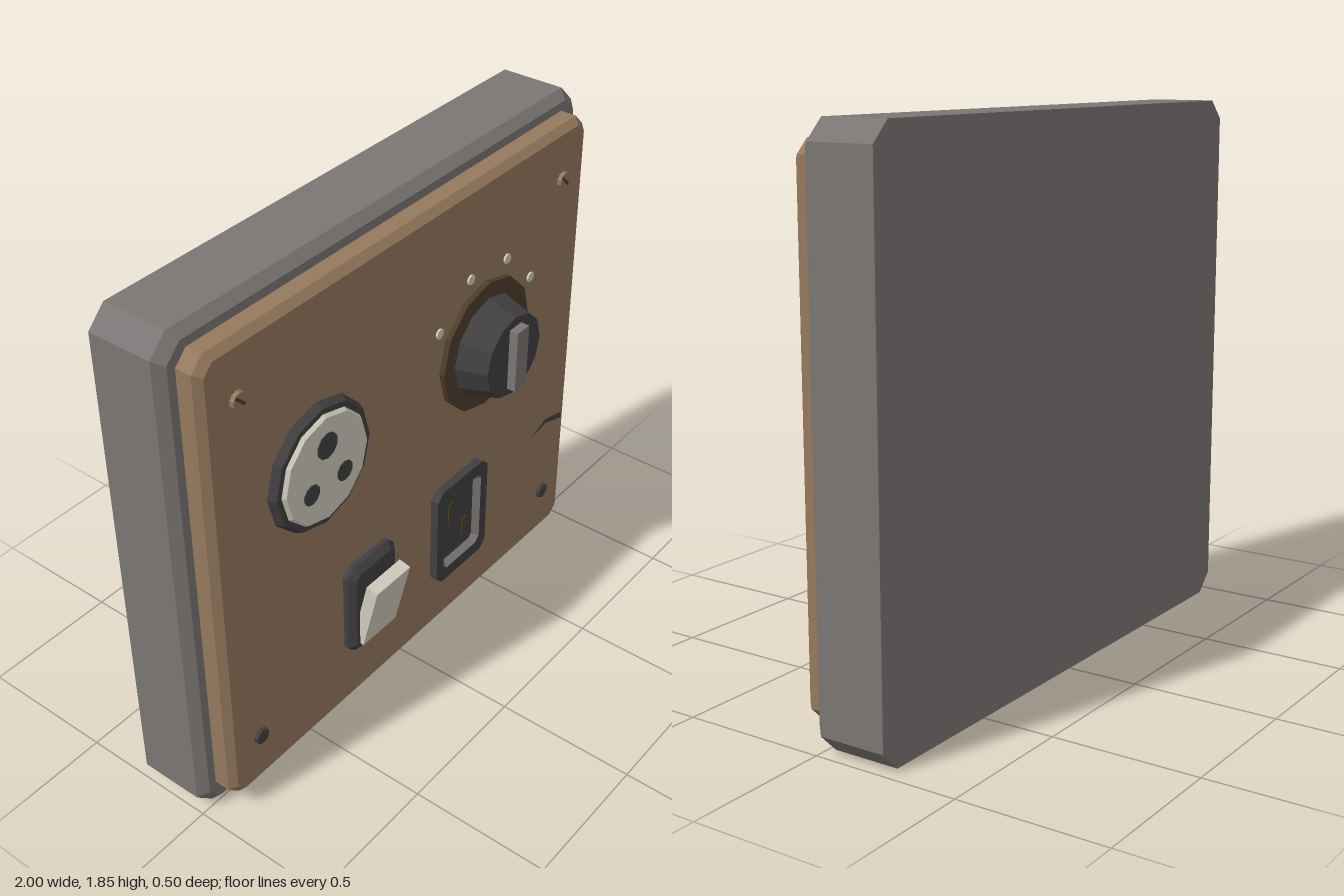
import * as THREE from 'three';

const mat = (name, color, extra = {}) =>
  Object.assign(new THREE.MeshStandardMaterial({ color, flatShading: true, ...extra }), { name });

// Octagonal cross-section: a rectangle with cut corners
function ring([w, h, c, z]) {
  return [[w, -h + c], [w, h - c], [w - c, h], [-w + c, h], [-w, h - c], [-w, -h + c], [-w + c, -h], [w - c, -h]]
    .map(([x, y]) => [x, y, z]);
}

// Skin a run of [halfWidth, halfHeight, cornerCut, z] sections, with optional end caps
function loft(sections, capBack = true, capFront = true) {
  const rings = sections.map(ring), out = [];
  const tri = (a, b, c) => out.push(...a, ...b, ...c);
  for (let i = 0; i < rings.length - 1; i++) {
    const a = rings[i], b = rings[i + 1];
    for (let j = 0; j < 8; j++) {
      const k = (j + 1) % 8;
      tri(a[j], a[k], b[k]);
      tri(a[j], b[k], b[j]);
    }
  }
  const first = rings[0], last = rings[rings.length - 1];
  for (let j = 1; j < 7; j++) {
    if (capBack) tri(first[0], first[j + 1], first[j]);
    if (capFront) tri(last[0], last[j], last[j + 1]);
  }
  const g = new THREE.BufferGeometry();
  g.setAttribute('position', new THREE.Float32BufferAttribute(out, 3));
  g.computeVertexNormals();
  return g;
}

export function createModel() {
  const root = new THREE.Group();
  root.name = 'controlPanel';
  const grey = mat('box grey', 0x7a7674);
  const brown = mat('panel brown', 0x95795d);
  const dark = mat('dark plastic', 0x413f3f);
  const cream = mat('cream', 0xcfcbbd);
  const darkBrown = mat('dark brown', 0x4c3c2a);

  const add = (name, geo, material, x = 0, y = 0, z = 0, parent = root) => {
    const m = new THREE.Mesh(geo, material);
    m.name = name;
    m.position.set(x, y, z);
    parent.add(m);
    return m;
  };
  // Faceted disc facing forward, from z0 to z1
  const disc = (name, material, x, y, z0, z1, rBack, rFront = rBack, sides = 12) =>
    add(name, new THREE.CylinderGeometry(rFront, rBack, z1 - z0, sides).rotateX(Math.PI / 2),
      material, x, y, (z0 + z1) / 2);

  // Back box and face panel
  add('backBox', loft([[1, 0.9225, 0.065, -0.25], [1, 0.9225, 0.065, -0.02], [0.97, 0.8925, 0.055, 0.01]]),
    grey, 0, 0.9225);
  add('facePanel', loft([[0.94, 0.86, 0.045, 0], [0.94, 0.86, 0.045, 0.067], [0.917, 0.837, 0.035, 0.09]]),
    brown, 0, 0.925);

  // Corner screws; the top pair are slotted
  for (const x of [-0.8, 0.8]) {
    disc('topScrew', brown, x, 1.595, 0.085, 0.103, 0.031, 0.027, 10);
    add('screwSlot', new THREE.BoxGeometry(0.05, 0.01, 0.004), darkBrown, x, 1.595, 0.103).rotation.z = -Math.PI / 4;
    disc('bottomScrew', dark, x, 0.265, 0.085, 0.103, 0.031, 0.027, 10);
  }

  // Round three-hole socket
  const sx = -0.477, sy = 1.175;
  disc('socketRing', dark, sx, sy, 0.085, 0.117, 0.231, 0.215);
  disc('socketFace', cream, sx, sy, 0.11, 0.13, 0.2, 0.187);
  for (const [dx, dy, r] of [[0, 0.087, 0.046], [-0.077, -0.053, 0.036], [0.077, -0.053, 0.036]])
    disc('socketHole', dark, sx + dx, sy + dy, 0.126, 0.133, r, r, 10);

  // Rotary knob with grip and dial marks
  const kx = 0.37, ky = 1.168;
  disc('knobPlate', darkBrown, kx, ky, 0.085, 0.11, 0.24);
  disc('knobBody', dark, kx, ky, 0.108, 0.218, 0.182, 0.15);
  add('knobGrip', new THREE.BoxGeometry(0.064, 0.23, 0.04), grey, kx, ky, 0.23);
  for (const [x, y] of [[0.125, 1.33], [0.288, 1.452], [0.49, 1.436], [0.635, 1.297]])
    disc('dialMark', cream, x, y, 0.087, 0.097, 0.018, 0.018, 8);

  // Rocker switch
  add('switchBezel', loft([[0.122, 0.183, 0.03, 0.085], [0.122, 0.183, 0.03, 0.108], [0.1, 0.16, 0.02, 0.13]]),
    dark, -0.252, 0.486);
  add('switchRocker', new THREE.BoxGeometry(0.174, 0.27, 0.045), cream, -0.252, 0.479, 0.152).rotation.x = 0.23;

  // Recessed rectangular inlet with two slots
  const inlet = new THREE.Group();
  inlet.name = 'powerInlet';
  inlet.position.set(0.245, 0.486, 0);
  root.add(inlet);
  add('inletFrame', loft([[0.145, 0.203, 0.03, 0.085], [0.145, 0.203, 0.03, 0.12], [0.107, 0.155, 0.02, 0.12]], true, false),
    dark, 0, 0, 0, inlet);
  add('inletWall', loft([[0.107, 0.155, 0.02, 0.12], [0.09, 0.138, 0.014, 0.097]], false, false), grey, 0, 0, 0, inlet);
  add('inletFloor', loft([[0.09, 0.138, 0.014, 0.092], [0.09, 0.138, 0.014, 0.097]]), dark, 0, 0, 0, inlet);
  for (const s of [-1, 1])
    add('inletSlot', new THREE.BoxGeometry(0.025, 0.082, 0.006), darkBrown, s * 0.042, s * -0.054, 0.098, inlet);

  // Crack running in from the panel's edge
  const crack = new THREE.Shape([[0.712, 0.564], [0.8, 0.584], [0.905, 0.55], [0.905, 0.575], [0.8, 0.602]]
    .map(([x, y]) => new THREE.Vector2(x, y)));
  add('crack', new THREE.ExtrudeGeometry(crack, { depth: 0.004, bevelEnabled: false }), dark, 0, 0, 0.088);

  return root;
}
